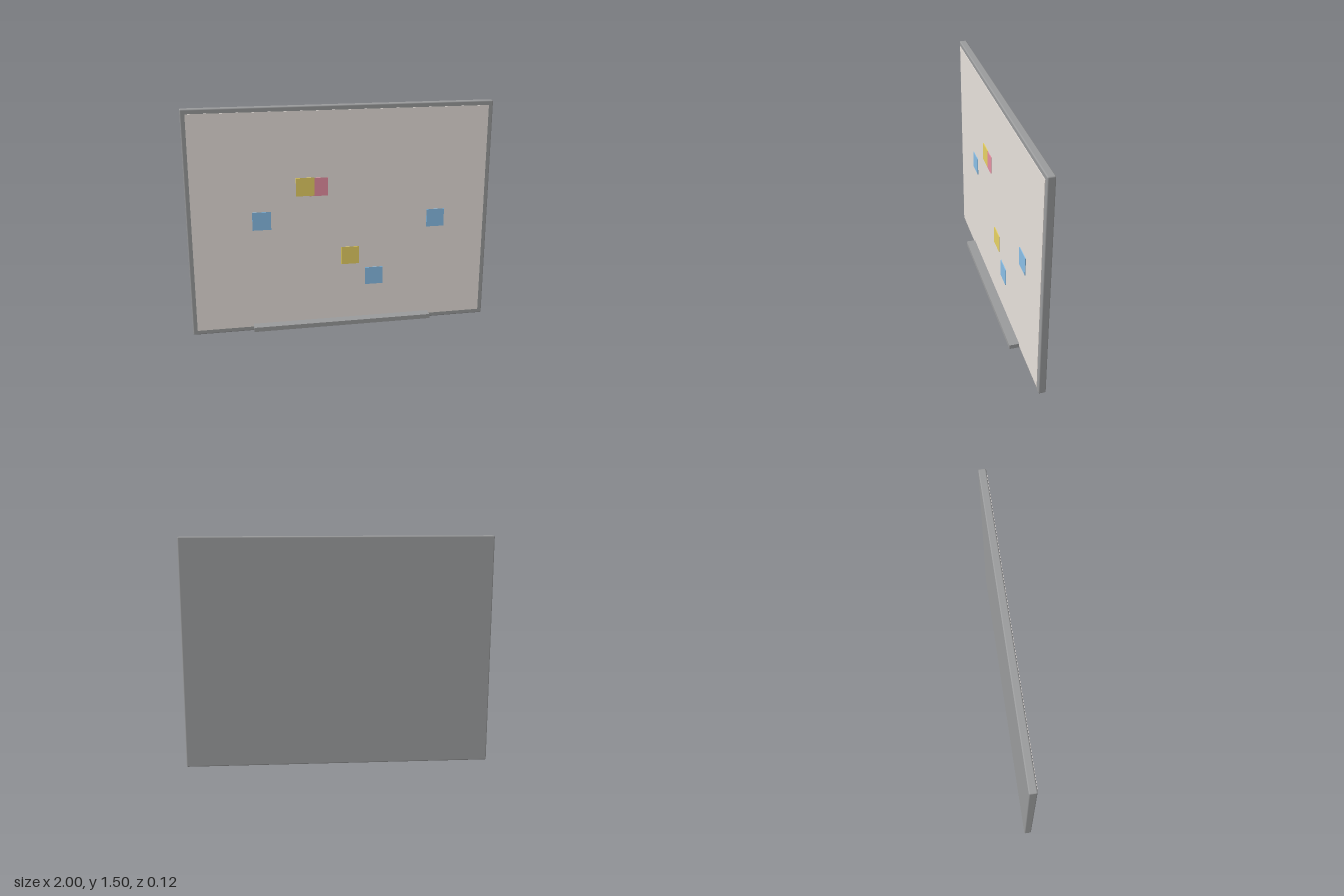
import * as THREE from 'three';
import { RoundedBoxGeometry } from 'three/addons/geometries/RoundedBoxGeometry.js';

function material(name, color) {
  const m = new THREE.MeshStandardMaterial({ color });
  m.name = name;
  return m;
}

export function createModel() {
  const group = new THREE.Group();
  group.name = 'whiteboard';

  const frameGrey = material('frameGrey', 0x9a9b9c);
  const boardWhite = material('boardWhite', 0xeee7e2);
  const noteYellow = material('noteYellow', 0xf0d968);
  const noteBlue = material('noteBlue', 0x90c8f2);
  const notePink = material('notePink', 0xf296aa);

  function add(name, geometry, mat, x, y, z) {
    const mesh = new THREE.Mesh(geometry, mat);
    mesh.name = name;
    mesh.position.set(x, y, z);
    group.add(mesh);
  }

  // Backing slab with softly bevelled edges
  add('frame', new RoundedBoxGeometry(2, 1.5, 0.048, 2, 0.008), frameGrey, 0, 0.75, -0.032);

  // Writing surface, a thin plate proud of the frame
  add('writingSurface', new THREE.BoxGeometry(1.94, 1.44, 0.006), boardWhite, 0, 0.75, -0.008);

  // Pen tray
  add('penTray', new THREE.BoxGeometry(1.2, 0.03, 0.07), frameGrey, 0, 0.035, 0.025);

  // Sticky notes: colour, centre x, centre y, lift in front of the board
  const noteGeometry = new THREE.BoxGeometry(0.12, 0.12, 0.006);
  const notes = [
    [noteYellow, -0.24, 0.98, 0.0005],
    [notePink, -0.153, 0.977, 0],
    [noteBlue, -0.525, 0.766, 0],
    [noteBlue, 0.633, 0.726, 0],
    [noteYellow, 0.055, 0.496, 0],
    [noteBlue, 0.218, 0.341, 0],
  ];
  notes.forEach(([mat, x, y, lift], i) => {
    add(`stickyNote${i + 1}`, noteGeometry, mat, x, y, -0.003 + lift);
  });

  return group;
}
